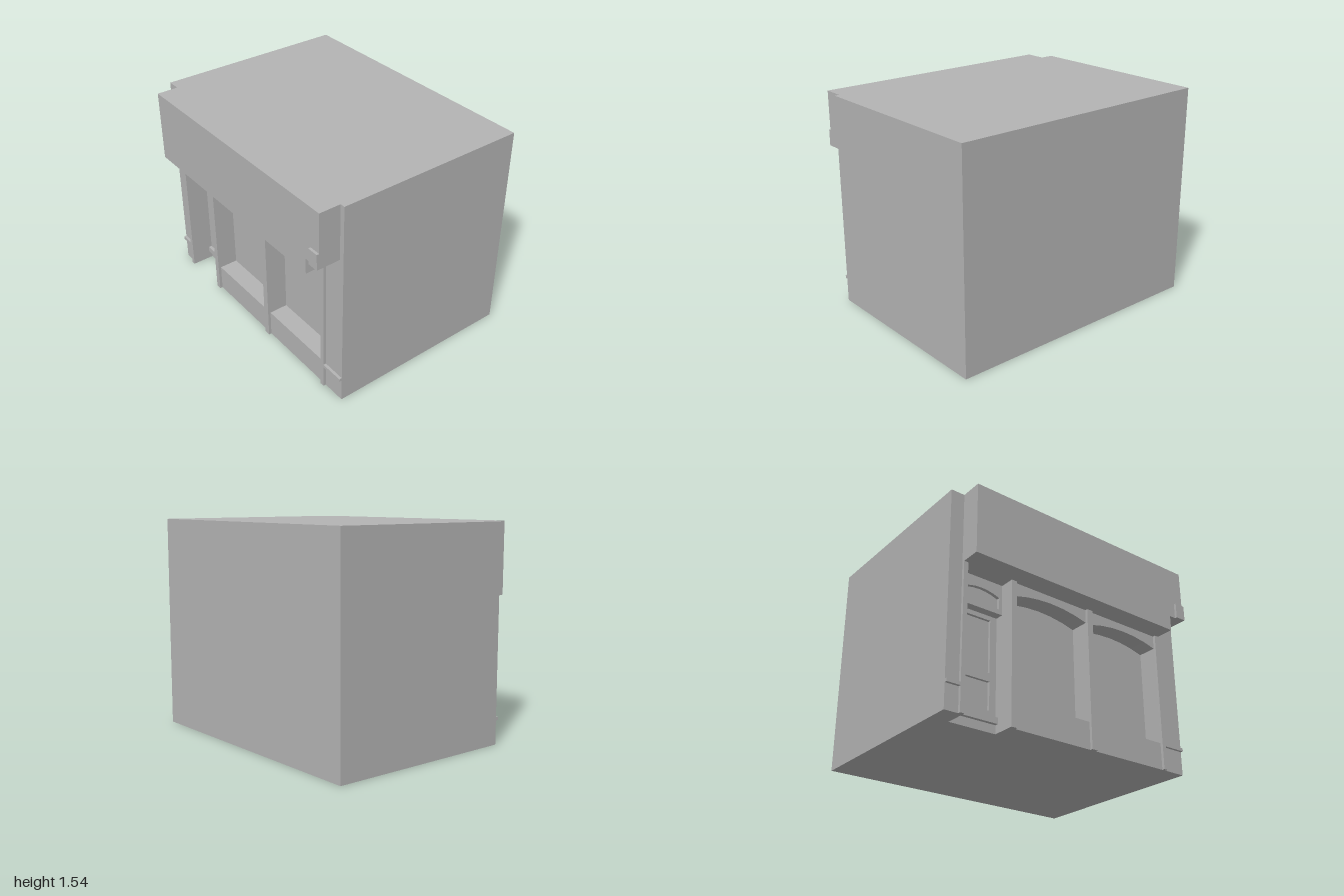
import * as THREE from 'three';

export function createModel() {
  const group = new THREE.Group();
  const grey = new THREE.MeshStandardMaterial({ color: 0xb3b3b3 });
  grey.name = 'plain grey';

  const add = (name, geometry) => {
    const mesh = new THREE.Mesh(geometry, grey);
    mesh.name = name;
    group.add(mesh);
  };
  // box given by its limits on each axis
  const box = (name, x0, x1, y0, y1, z0, z1) => {
    const g = new THREE.BoxGeometry(x1 - x0, y1 - y0, z1 - z0);
    add(name, g.translate((x0 + x1) / 2, (y0 + y1) / 2, (z0 + z1) / 2));
  };
  const poly = (pts, Type = THREE.Shape) => new Type(pts.map(([x, y]) => new THREE.Vector2(x, y)));
  const rect = (x0, x1, y0, y1) => [[x0, y0], [x1, y0], [x1, y1], [x0, y1]];
  // rectangle with a shallow segmental top
  const arched = (x0, x1, y0, ySide, yTop) => {
    const pts = [[x0, y0], [x1, y0]];
    const n = 6;
    for (let i = 0; i <= n; i++) {
      const t = i / n;
      pts.push([x1 + (x0 - x1) * t, ySide + (yTop - ySide) * 4 * t * (1 - t)]);
    }
    return pts;
  };
  const plate = (name, outline, holes, z0, z1) => {
    const shape = poly(outline);
    shape.holes = holes.map((h) => poly(h, THREE.Path));
    const g = new THREE.ExtrudeGeometry(shape, { depth: z1 - z0, bevelEnabled: false });
    add(name, g.translate(0, 0, z0));
  };

  const H = 1.545, front = 0.617, proud = 0.637, inner = 0.45;
  const doorL = -0.868, doorR = -0.522;

  // building volume
  box('buildingBody', -1, 1, 0, H, -0.79, inner);

  // front wall with the door recess and two arched window openings
  const windows = [[-0.48, 0.135], [0.183, 0.798]];
  plate('frontWall',
    [[-1, 0], [doorL, 0], [doorL, 1.03], [doorR, 1.03], [doorR, 0], [1, 0], [1, H], [-1, H]],
    windows.map(([a, b]) => arched(a, b, 0.195, 0.93, 0.975)), inner, front);
  windows.forEach(([a, b]) => box('windowPane', a, b, 0.195, 0.98, inner, 0.48));

  // door leaf with two sunk panels, sill and arched transom light
  plate('door', rect(doorL, doorR, 0, 0.81),
    [rect(-0.807, -0.572, 0.145, 0.343), rect(-0.807, -0.572, 0.402, 0.778)], inner, 0.47);
  box('doorSill', doorL, doorR, 0.06, 0.103, 0.47, 0.495);
  plate('transom', rect(doorL, doorR, 0.81, 1.03),
    [arched(-0.833, -0.545, 0.845, 0.93, 0.96)], inner, 0.53);
  box('transomPane', -0.833, -0.545, 0.845, 0.96, inner, 0.505);

  // slim pilasters under the fascia
  [[-0.9, doorL], [doorR, -0.48], [0.135, 0.183], [0.798, 0.83]].forEach(([a, b]) =>
    box('pilaster', a, b, 0, 1.03, front, proud));

  // plinth bands on the end piers
  [[-1, -0.9], [0.83, 1]].forEach(([a, b]) =>
    box('plinthBand', a, b, 0.172, 0.195, front, proud));

  // overhanging fascia with a stepped end and corner block
  plate('fascia',
    [[-0.9, 1.03], [0.83, 1.03], [0.83, 1.145], [0.965, 1.145], [0.965, H], [-0.9, H]],
    [], front, 0.772);
  box('fasciaBlock', 0.882, 0.965, 1.145, 1.26, 0.772, 0.79);

  return group;
}
